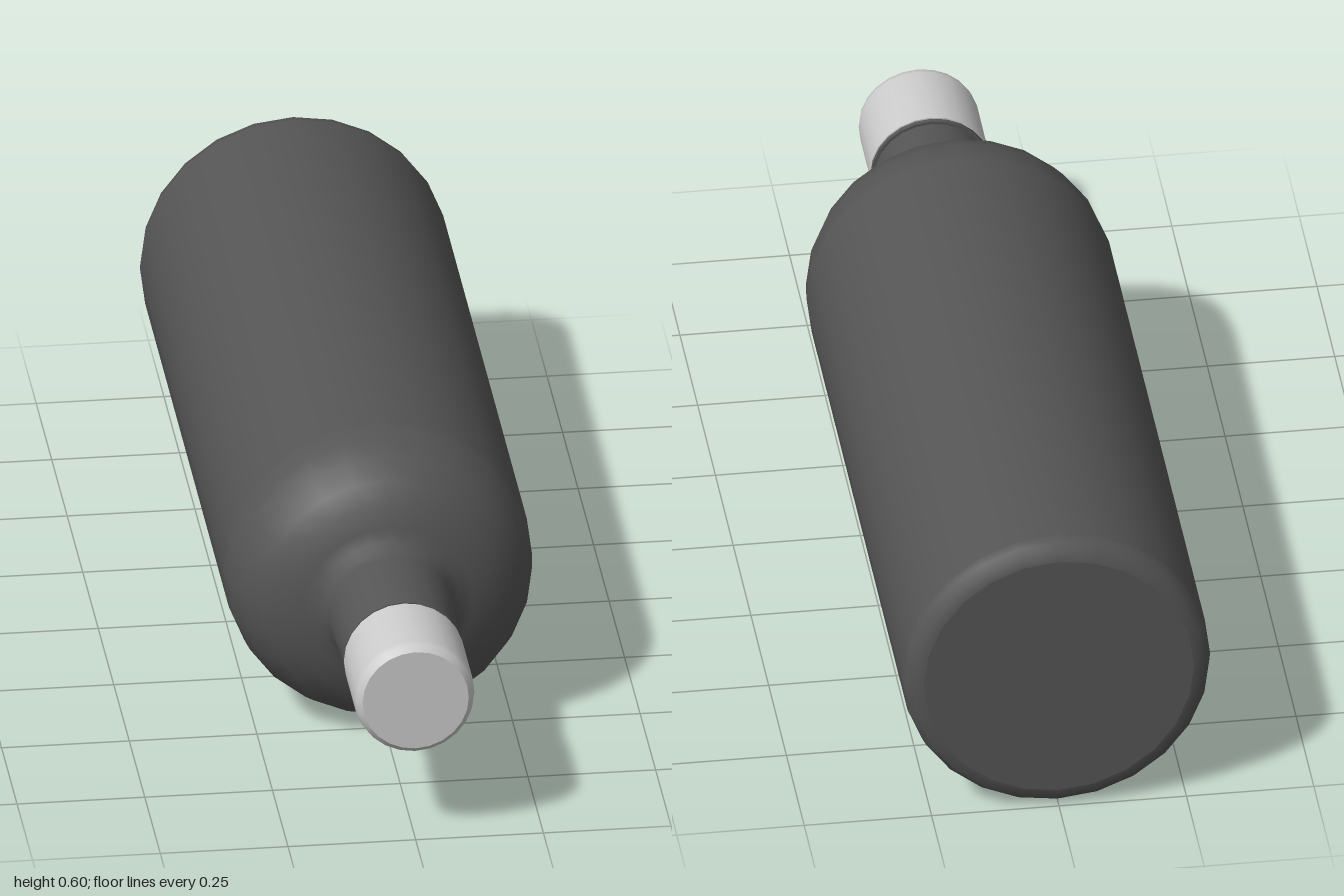
import * as THREE from 'three';

const SIDES = 24;
const AXIS_HEIGHT = 0.304;

// Turned part lying along z: profile rows are [radius, z], repeated rows make a sharp edge
function turned(name, profile, color) {
  const points = profile.map(([r, z]) => new THREE.Vector2(r, z));
  const geometry = new THREE.LatheGeometry(points, SIDES).rotateX(Math.PI / 2);
  const mesh = new THREE.Mesh(geometry, new THREE.MeshStandardMaterial({ color }));
  mesh.name = name;
  mesh.position.y = AXIS_HEIGHT;
  return mesh;
}

export function createModel() {
  const group = new THREE.Group();
  group.name = 'bottle';

  // Glass: base, straight body, round shoulder, tapering neck
  group.add(turned('bottleBody', [
    [0, -1], [0.265, -1], [0.265, -1], [0.285, -0.995], [0.298, -0.98], [0.302, -0.96],
    [0.302, -0.96], [0.302, 0.39], [0.302, 0.39],
    [0.296, 0.44], [0.277, 0.49], [0.246, 0.53], [0.205, 0.557], [0.165, 0.572],
    [0.14, 0.58], [0.127, 0.595], [0.123, 0.62],
    [0.112, 0.8], [0.112, 0.8], [0.108, 0.84], [0.108, 0.84], [0, 0.84],
  ], 0x555555));

  // Closed cap with a small rounded rim
  group.add(turned('cap', [
    [0, 0.812], [0.118, 0.812], [0.118, 0.812], [0.118, 0.975],
    [0.115, 0.989], [0.104, 1], [0.104, 1], [0, 1],
  ], 0xcccccc));

  // Thin seal ring below the cap
  group.add(turned('sealRing', [
    [0.105, 0.798], [0.118, 0.798], [0.118, 0.798], [0.118, 0.808], [0.118, 0.808], [0.105, 0.808],
  ], 0x555555));

  return group;
}
